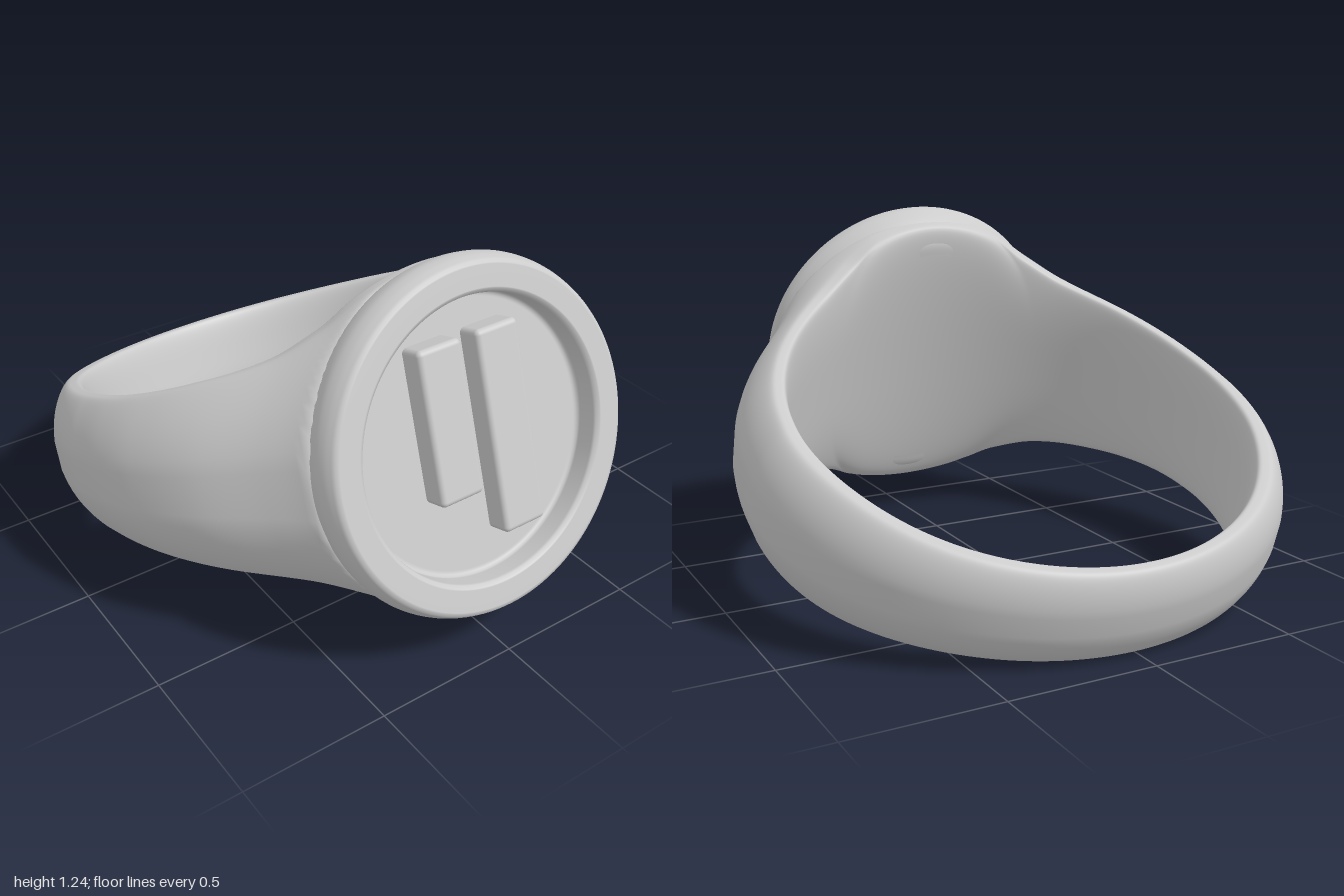
import * as THREE from 'three';
import { RoundedBoxGeometry } from 'three/addons/geometries/RoundedBoxGeometry.js';

const material = new THREE.MeshStandardMaterial({ color: 0xcccccc, roughness: 0.5 });
const HOLE = 0.785; // finger hole radius
const CAP = 0.91;   // the band stops here, just behind the recessed face

// Smooth interpolation through [position, value] pairs
function smoothTable(points) {
  const slope = points.map((p, i) => {
    const a = points[Math.max(i - 1, 0)], b = points[Math.min(i + 1, points.length - 1)];
    return (b[1] - a[1]) / (b[0] - a[0]);
  });
  return (x) => {
    if (x <= points[0][0]) return points[0][1];
    for (let i = 0; i < points.length - 1; i++) {
      const [x0, y0] = points[i], [x1, y1] = points[i + 1];
      if (x > x1) continue;
      const d = x1 - x0, t = (x - x0) / d, t2 = t * t, t3 = t2 * t;
      return y0 * (2 * t3 - 3 * t2 + 1) + slope[i] * d * (t3 - 2 * t2 + t)
        + y1 * (3 * t2 - 2 * t3) + slope[i + 1] * d * (t3 - t2);
    }
    return points[points.length - 1][1];
  };
}

// Front half-width, vertical roundness and edge half-height, from back to front
const frontWidth = smoothTable([[0, 0.945], [0.18, 0.932], [0.35, 0.893], [0.56, 0.8],
  [0.77, 0.655], [0.86, 0.597], [0.92, 0.568], [1, 0.56]]);
const roundness = smoothTable([[-0.9, 0.55], [0, 0.62], [0.4, 0.6], [0.6, 0.56], [0.75, 0.55], [0.92, 0.57]]);
const edgeHeight = smoothTable([[-0.83, 0.157], [-0.64, 0.178], [-0.315, 0.22], [0, 0.245],
  [0.225, 0.267], [0.481, 0.31], [0.663, 0.36], [0.75, 0.43], [0.8, 0.51], [0.83, 0.55]]);

function insideOuter(x, y, z) {
  if (z > CAP) return false;
  const k = (y / roundness(z)) ** 2;
  if (z < 0) return (x / 0.945) ** 2 + (z / 0.885) ** 2 + k <= 1;
  return k <= 1 && x * x <= frontWidth(z) ** 2 * (1 - k);
}

function outerRadius(angle, y) {
  let lo = HOLE + 0.02, hi = 1.4;
  for (let i = 0; i < 24; i++) {
    const r = (lo + hi) / 2;
    if (insideOuter(r * Math.sin(angle), y, r * Math.cos(angle))) lo = r; else hi = r;
  }
  return lo;
}

// Rounded cross-sections swept around the finger hole
function bandGeometry(around = 288, across = 72) {
  const positions = [], index = [];
  const soften = (c) => Math.sign(c) * Math.abs(c) ** 0.5;
  for (let i = 0; i < around; i++) {
    const angle = (i / around) * Math.PI * 2;
    const half = edgeHeight(0.83 * Math.cos(angle));
    for (let j = 0; j < across; j++) {
      const phi = ((j + 0.5) / across) * Math.PI * 2;
      const y = half * soften(Math.sin(phi));
      const outer = outerRadius(angle, y);
      const r = (outer + HOLE) / 2 + ((outer - HOLE) / 2) * soften(Math.cos(phi));
      positions.push(r * Math.sin(angle), y, r * Math.cos(angle));
      const i2 = (i + 1) % around, j2 = (j + 1) % across;
      const a = i * across + j, b = i2 * across + j, c = i2 * across + j2, d = i * across + j2;
      index.push(a, b, d, b, c, d);
    }
  }
  const geometry = new THREE.BufferGeometry();
  geometry.setAttribute('position', new THREE.Float32BufferAttribute(positions, 3));
  geometry.setIndex(index);
  geometry.computeVertexNormals();
  return geometry;
}

// Round head: rolled back edge, flat rim, recessed floor
function headGeometry() {
  const back = new THREE.SplineCurve([[0.44, 0.79], [0.485, 0.797], [0.53, 0.826], [0.558, 0.875],
    [0.571, 0.93], [0.566, 0.97], [0.554, 1.0]].map(([r, z]) => new THREE.Vector2(r, z))).getPoints(30);
  const front = [[0.549, 1.008], [0.54, 1.012], [0.536, 1.013], [0.467, 1.013], [0.463, 1.012],
    [0.453, 1.004], [0.45, 0.995], [0.45, 0.935], [0.448, 0.928], [0.442, 0.922], [0.435, 0.92],
    [0.43, 0.92], [0, 0.92]].map(([r, z]) => new THREE.Vector2(r, z));
  return new THREE.LatheGeometry([...back, ...front], 128).rotateX(Math.PI / 2);
}

export function createModel() {
  const model = new THREE.Group();
  model.name = 'signetRing';
  const ring = new THREE.Group();
  ring.name = 'tiltedRing';
  const tilt = 0.3128;
  ring.rotation.x = -tilt;
  ring.position.set(0, 0.434 * Math.cos(tilt), -0.434 * Math.sin(tilt));
  model.add(ring);

  const add = (name, geometry) => {
    const mesh = new THREE.Mesh(geometry, material);
    mesh.name = name;
    ring.add(mesh);
    return mesh;
  };
  add('band', bandGeometry());
  add('roundHead', headGeometry());

  // Raised bars on the recessed face
  const top = 0.337;
  for (const [name, x, bottom] of [['shortBar', -0.112, -0.16], ['longBar', 0.108, -0.327]]) {
    const bar = add(name, new RoundedBoxGeometry(0.163, top - bottom, 0.11, 4, 0.018));
    bar.position.set(x, (top + bottom) / 2, 0.947);
  }
  return model;
}
